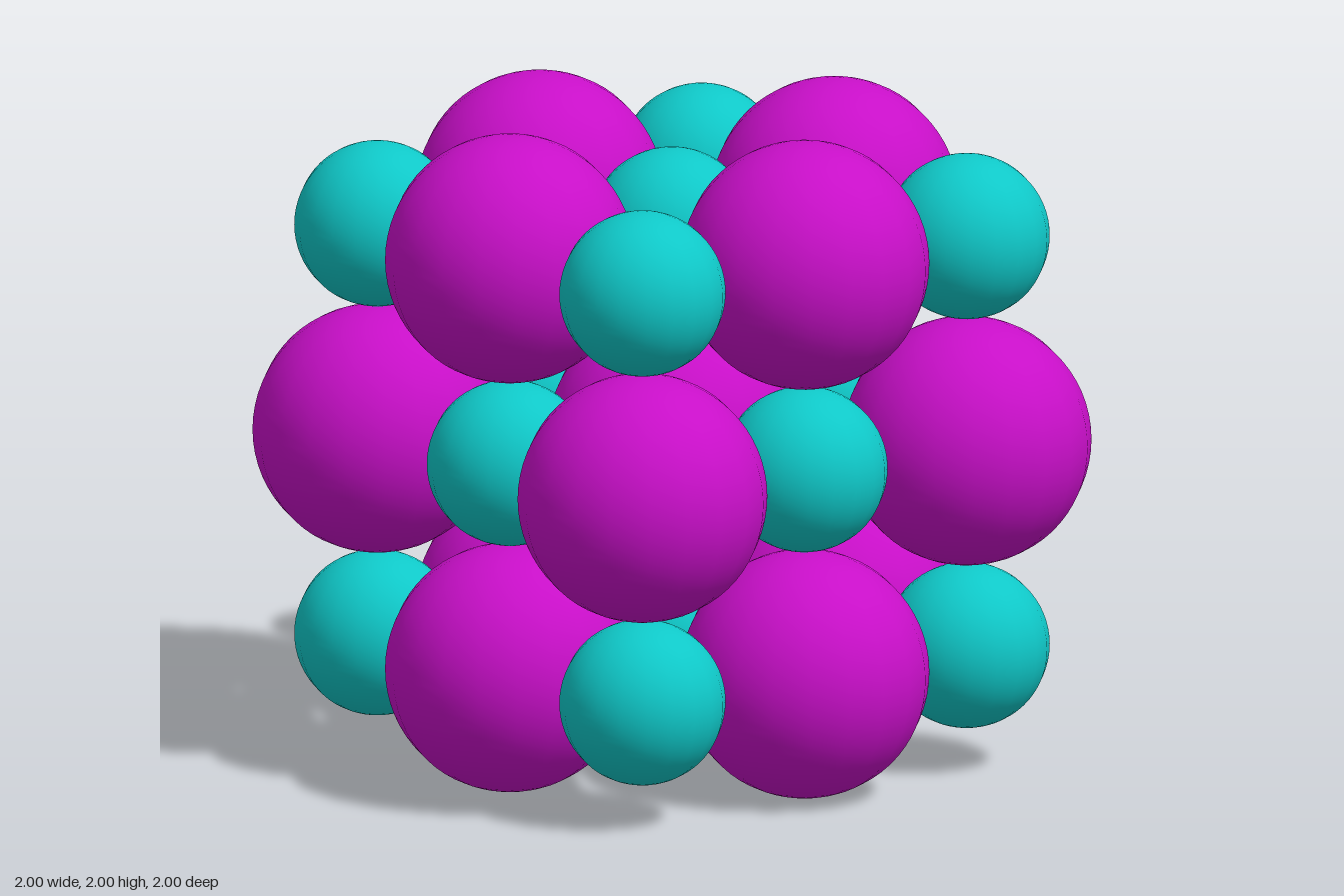
import * as THREE from 'three';

const SPACING = 0.626;

export function createModel() {
  const model = new THREE.Group();
  model.name = 'crystalLattice';

  const magenta = new THREE.MeshStandardMaterial({ color: 0xc80fc8 });
  magenta.name = 'magenta';
  const teal = new THREE.MeshStandardMaterial({ color: 0x0fc8c8 });
  teal.name = 'teal';

  const largeBall = new THREE.SphereGeometry(0.374, 20, 32);
  const smallBall = new THREE.SphereGeometry(0.249, 20, 32);

  // Cubic 3 x 3 x 3 lattice: small balls on corners and face centres,
  // large balls on edge midpoints and the body centre
  for (let i = -1; i <= 1; i++) {
    for (let j = -1; j <= 1; j++) {
      for (let k = -1; k <= 1; k++) {
        const small = Math.abs(i + j + k) % 2 === 1;
        const ball = new THREE.Mesh(small ? smallBall : largeBall, small ? teal : magenta);
        ball.name = small ? 'smallIon' : 'largeIon';
        ball.position.set(i * SPACING, 1 + j * SPACING, k * SPACING);
        model.add(ball);
      }
    }
  }
  return model;
}
